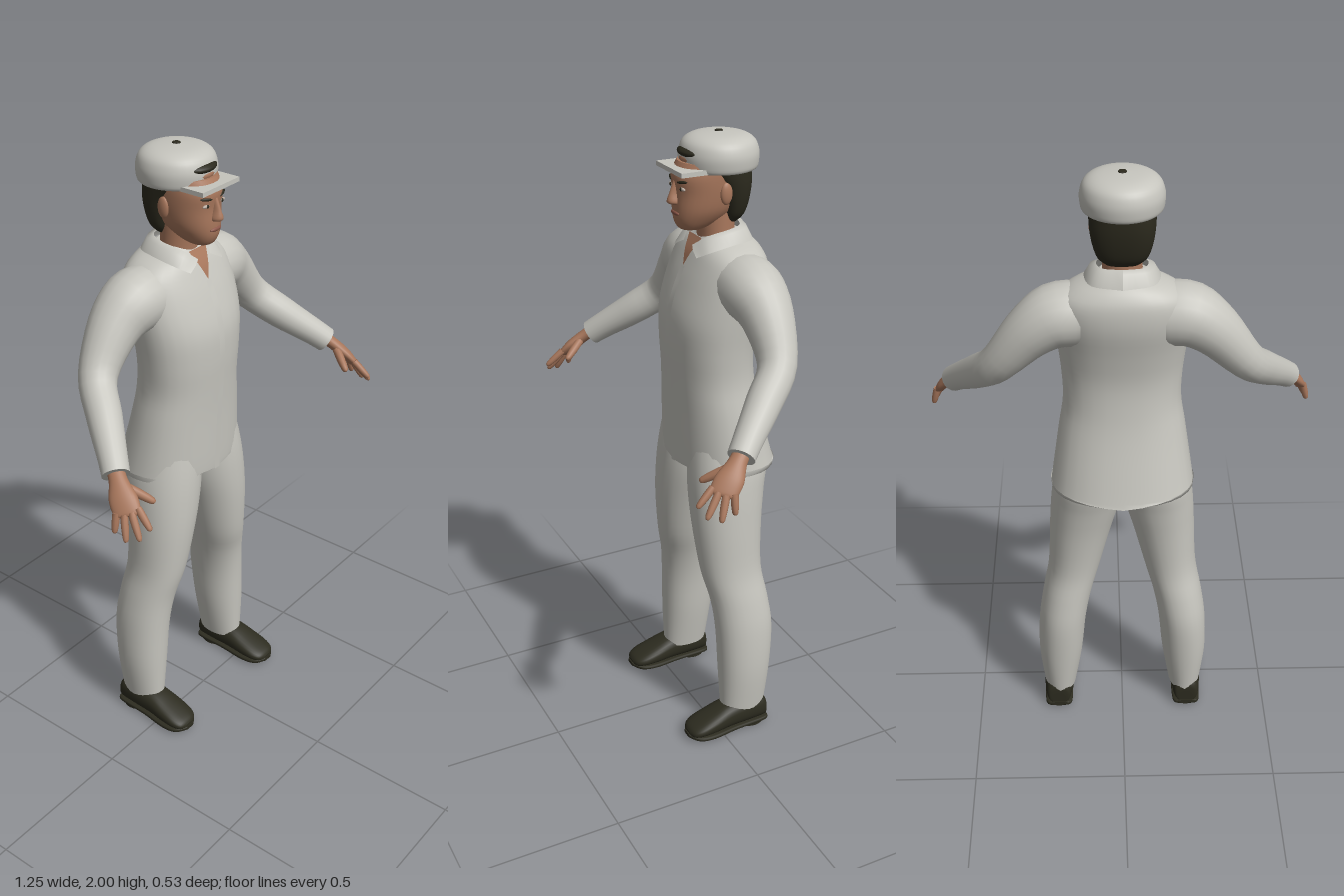
import * as THREE from 'three';

const V = (x, y, z) => new THREE.Vector3(x, y, z);
const mat = (name, color, side = THREE.FrontSide) => {
  const m = new THREE.MeshStandardMaterial({ color, side });
  m.name = name;
  return m;
};

// Smoothly subdivide a list of number rows
function refine(rows, k = 4) {
  const out = [], n = rows.length - 1;
  for (let i = 0; i < n; i++) {
    const [a, b, c, d] = [Math.max(i - 1, 0), i, i + 1, Math.min(i + 2, n)].map((q) => rows[q]);
    for (let s = 0; s < k; s++) {
      const t = s / k;
      out.push(b.map((_, j) => 0.5 * (2 * b[j] + (c[j] - a[j]) * t
        + (2 * a[j] - 5 * b[j] + 4 * c[j] - d[j]) * t * t
        + (3 * b[j] - a[j] - 3 * c[j] + d[j]) * t * t * t)));
    }
  }
  out.push(rows[n]);
  return out;
}

// Ring of points c + u cos + v sin; p below 1 makes it boxier
function ring(c, u, v, p = 1, n = 28) {
  const f = (s) => Math.sign(s) * Math.abs(s) ** p;
  return Array.from({ length: n }, (_, i) => {
    const a = (i / n) * Math.PI * 2;
    return c.clone().addScaledVector(u, f(Math.cos(a))).addScaledVector(v, f(Math.sin(a)));
  });
}

// Skin a surface through rings, with optional flat end caps
function loft(rings, { closed = true, capStart = true, capEnd = true } = {}) {
  const n = rings[0].length, pos = [], idx = [];
  rings.forEach((r) => r.forEach((q) => pos.push(q.x, q.y, q.z)));
  for (let i = 0; i < rings.length - 1; i++) {
    for (let j = 0; j < (closed ? n : n - 1); j++) {
      const a = i * n + j, b = i * n + ((j + 1) % n);
      idx.push(a, b, a + n, b, b + n, a + n);
    }
  }
  const cap = (r, flip) => {
    const base = pos.length / 3, c = V(0, 0, 0);
    r.forEach((q) => { pos.push(q.x, q.y, q.z); c.addScaledVector(q, 1 / n); });
    pos.push(c.x, c.y, c.z);
    for (let j = 0; j < n; j++) {
      const a = base + j, b = base + ((j + 1) % n);
      idx.push(...(flip ? [b, a, base + n] : [a, b, base + n]));
    }
  };
  if (closed && capStart) cap(rings[0], true);
  if (closed && capEnd) cap(rings[rings.length - 1], false);
  const g = new THREE.BufferGeometry();
  g.setAttribute('position', new THREE.Float32BufferAttribute(pos, 3));
  g.setIndex(idx);
  g.computeVertexNormals();
  return g;
}

// Upright form from rows [y, centre x, half width, front z, back z]
const uprightRings = (rows, p) => refine(rows).map(([y, cx, hw, zf, zb]) =>
  ring(V(cx, y, (zf + zb) / 2), V(0, 0, (zf - zb) / 2), V(hw, 0, 0), p));
const upright = (rows, p = 1, opts) => loft(uprightRings(rows, p), opts);

// Lengthwise form from rows [z, centre x, half width, top y, bottom y]
const lengthwise = (rows, p) => loft(refine(rows).map(([z, cx, hw, t, b]) =>
  ring(V(cx, (t + b) / 2, z), V(hw, 0, 0), V(0, (t - b) / 2, 0), p)));

// Limb from rows [x, y, z, radius]
function limb(rows, n = 20, k = 4) {
  const r = refine(rows, k), at = (i) => V(...r[Math.min(Math.max(i, 0), r.length - 1)].slice(0, 3));
  return loft(r.map((q, i) => {
    const t = at(i + 1).sub(at(i - 1)).normalize();
    const u = V(0, 0, 1).cross(t).normalize();
    return ring(at(i), u.clone().multiplyScalar(q[3]), t.clone().cross(u).multiplyScalar(q[3]), 1, n);
  }));
}

// Ribbon between edges
const ribbon = (...edges) => loft(edges.map((e) =>
  new THREE.CatmullRomCurve3(e.map((q) => V(...q))).getPoints(20)), { closed: false });

const ball = (x, y, z, a, b, c) => new THREE.SphereGeometry(1, 20, 14).scale(a, b, c).translate(x, y, z);

// Mirror across x, keeping faces outward
function mirrored(geo) {
  const g = geo.clone().scale(-1, 1, 1), ix = g.index.array;
  for (let i = 0; i < ix.length; i += 3) [ix[i], ix[i + 1]] = [ix[i + 1], ix[i]];
  g.computeVertexNormals();
  return g;
}

export function createModel() {
  const model = new THREE.Group();
  model.name = 'standingMan';
  const cloth = mat('paleGreyCloth', 0xc6c5be, THREE.DoubleSide);
  const skin = mat('skin', 0xa8775c, THREE.DoubleSide);
  const hair = mat('darkHair', 0x2b291d);
  const leather = mat('darkLeather', 0x2d2c20);
  const white = mat('eyeWhite', 0xb8aba0);
  const lip = mat('lips', 0x8a5648);
  const add = (name, geo, m) => {
    const mesh = new THREE.Mesh(geo, m);
    mesh.name = name;
    model.add(mesh);
  };
  const pair = (name, geo, m) => {
    add(name + 'Left', geo, m);
    add(name + 'Right', mirrored(geo), m);
  };

  // Shirt body with a hem that rises at the sides
  const shirt = uprightRings([
    [0.945, 0, 0.228, 0.053, -0.265], [1.0, 0, 0.22, 0.056, -0.25], [1.15, 0, 0.198, 0.06, -0.212],
    [1.25, 0, 0.183, 0.065, -0.195], [1.35, 0, 0.187, 0.07, -0.19], [1.45, 0, 0.197, 0.066, -0.205],
    [1.55, 0, 0.205, 0.035, -0.226], [1.62, 0, 0.195, 0.005, -0.226], [1.66, 0, 0.15, -0.015, -0.21],
    [1.685, 0, 0.09, -0.035, -0.185], [1.7, 0, 0.065, -0.045, -0.16]], 0.9);
  shirt[0].forEach((q) => { q.y += 0.025 * Math.abs(q.x) / 0.228; });
  add('shirtBody', loft(shirt, { capStart: false }), cloth);
  const placket = [[1.6, 0.02], [1.5, 0.058], [1.4, 0.074], [1.25, 0.069], [1.1, 0.062], [0.945, 0.056]];
  add('shirtPlacket', ribbon(...[-0.012, 0.012].map((x) => placket.map(([y, z]) => [x, y, z]))), cloth);

  // Sleeves with a slight cuff
  pair('sleeve', limb([
    [0.13, 1.56, -0.11, 0.098], [0.2, 1.555, -0.115, 0.098], [0.28, 1.5, -0.12, 0.08],
    [0.375, 1.388, -0.1, 0.059], [0.44, 1.312, -0.02, 0.054], [0.505, 1.243, 0.065, 0.045],
    [0.536, 1.208, 0.105, 0.042]]), cloth);

  // Folded collar and open neckline
  pair('collar', ribbon(
    [[0, 1.725, -0.16], [0.06, 1.722, -0.142], [0.076, 1.716, -0.095], [0.06, 1.7, -0.035], [0.028, 1.67, 0.002]],
    [[0, 1.72, -0.18], [0.075, 1.716, -0.157], [0.095, 1.71, -0.098], [0.08, 1.69, -0.026], [0.05, 1.658, 0.01]],
    [[0, 1.68, -0.2], [0.09, 1.68, -0.17], [0.112, 1.678, -0.1], [0.1, 1.66, -0.02], [0.076, 1.643, 0.012]]), cloth);
  add('neckline', ribbon(
    [[-0.04, 1.69, -0.024], [-0.02, 1.645, 0.002], [0, 1.6, 0.019]],
    [[0.04, 1.69, -0.024], [0.02, 1.645, 0.002], [0, 1.6, 0.019]]), skin);

  // Hands: palm, four fingers and a thumb
  const across = V(-0.6, 0.2, 0.77).normalize(), along = V(0.4, -0.68, 0.61);
  along.addScaledVector(across, -along.dot(across)).normalize();
  const thick = along.clone().cross(across);
  pair('palm', loft(refine([
    [0.525, 1.225, 0.09, 0.027, 0.022], [0.545, 1.2, 0.122, 0.028, 0.02], [0.567, 1.165, 0.158, 0.042, 0.019],
    [0.582, 1.135, 0.185, 0.04, 0.014], [0.587, 1.128, 0.191, 0.03, 0.008]]).map(([x, y, z, w, t]) =>
    ring(V(x, y, z), across.clone().multiplyScalar(w), thick.clone().multiplyScalar(t)))), skin);
  const fingers = {
    indexFinger: [[0.56, 1.148, 0.207], [0.57, 1.1, 0.262]],
    middleFinger: [[0.577, 1.138, 0.197], [0.6, 1.074, 0.247]],
    ringFinger: [[0.591, 1.132, 0.181], [0.618, 1.064, 0.21]],
    littleFinger: [[0.6, 1.135, 0.16], [0.616, 1.076, 0.165]],
    thumb: [[0.537, 1.183, 0.15], [0.496, 1.14, 0.216]],
  };
  for (const [name, [a, b]] of Object.entries(fingers)) {
    const w = name === 'thumb' ? 0.014 : 0.0115;
    pair(name, limb([[0, w], [0.45, w], [0.9, w * 0.75], [1, w * 0.3]].map(([t, r]) =>
      [...a.map((q, i) => q + (b[i] - q) * t), r]), 10, 2), skin);
  }

  // Trousers
  pair('trouserLeg', upright([
    [0.075, 0.219, 0.054, -0.015, -0.172], [0.23, 0.214, 0.074, -0.01, -0.19], [0.38, 0.204, 0.079, -0.005, -0.2],
    [0.49, 0.186, 0.081, 0.006, -0.19], [0.6, 0.16, 0.086, 0.03, -0.176], [0.75, 0.137, 0.101, 0.046, -0.184],
    [0.87, 0.117, 0.113, 0.049, -0.2], [0.97, 0.103, 0.113, 0.044, -0.215], [1.08, 0.09, 0.095, 0.03, -0.18]], 0.95), cloth);

  // Shoes with sole and heel
  pair('shoeUpper', lengthwise([
    [-0.172, 0.225, 0.025, 0.065, 0.015], [-0.163, 0.225, 0.042, 0.1, 0.012], [-0.1, 0.225, 0.05, 0.112, 0.012],
    [-0.03, 0.226, 0.051, 0.102, 0.012], [0.03, 0.227, 0.055, 0.08, 0.012], [0.08, 0.228, 0.053, 0.06, 0.014],
    [0.108, 0.229, 0.04, 0.046, 0.016], [0.118, 0.229, 0.018, 0.034, 0.02]], 0.85), leather);
  pair('shoeSole', lengthwise([
    [-0.175, 0.225, 0.025, 0.022, 0.008], [-0.16, 0.225, 0.046, 0.022, 0.006], [-0.05, 0.226, 0.05, 0.022, 0.006],
    [0.04, 0.228, 0.058, 0.022, 0.004], [0.095, 0.229, 0.05, 0.024, 0.008], [0.122, 0.229, 0.018, 0.027, 0.014]], 0.5), leather);
  pair('shoeHeel', new THREE.CylinderGeometry(0.046, 0.046, 0.018, 24).scale(1, 1, 1.1).translate(0.225, 0.009, -0.12), leather);

  // Neck and head
  add('neck', upright([[1.6, 0, 0.07, -0.03, -0.15], [1.68, 0, 0.06, -0.035, -0.15], [1.78, 0, 0.058, -0.025, -0.15]]), skin);
  add('head', upright([
    [1.712, 0, 0.02, 0.015, -0.03], [1.72, 0, 0.038, 0.032, -0.06], [1.745, 0, 0.058, 0.045, -0.115],
    [1.78, 0, 0.075, 0.048, -0.15], [1.83, 0, 0.084, 0.046, -0.17], [1.88, 0, 0.087, 0.049, -0.178],
    [1.92, 0, 0.085, 0.03, -0.18]], 0.92), skin);
  add('nose', upright([
    [1.794, 0, 0.012, 0.056, 0.02], [1.803, 0, 0.018, 0.071, 0.02], [1.83, 0, 0.011, 0.063, 0.02],
    [1.865, 0, 0.009, 0.05, 0.02]]), skin);
  pair('ear', ball(0.089, 1.83, -0.078, 0.011, 0.034, 0.02).rotateY(0.05), skin);
  pair('eye', ball(0.035, 1.846, 0.038, 0.016, 0.0055, 0.006), white);
  pair('pupil', ball(0.034, 1.846, 0.0425, 0.0055, 0.0055, 0.003), hair);
  pair('eyebrow', ball(0, 0, 0, 0.021, 0.0045, 0.005).rotateZ(0.15).rotateY(0.35).translate(0.037, 1.867, 0.04), hair);
  add('mouth', ball(0, 1.768, 0.045, 0.025, 0.007, 0.007), lip);

  // Hair below the cap
  add('hairBack', upright([
    [1.73, 0, 0.05, -0.1, -0.15], [1.755, 0, 0.073, -0.092, -0.17], [1.8, 0, 0.088, -0.08, -0.184],
    [1.85, 0, 0.095, -0.058, -0.192], [1.9, 0, 0.097, -0.01, -0.193]], 0.85), hair);

  // Cap worn with its opening at the front
  add('capCrown', new THREE.LatheGeometry(refine([
    [0.088, 1.897], [0.114, 1.892], [0.121, 1.915], [0.12, 1.945], [0.106, 1.975], [0.07, 1.992], [0.0001, 1.998],
  ]).map(([r, y]) => new THREE.Vector2(Math.max(r, 0), y)), 40).translate(0, 0, -0.1), cloth);
  add('capButton', new THREE.CylinderGeometry(0.012, 0.014, 0.005, 8).translate(0, 1.9975, -0.1), hair);
  add('capBrim', new THREE.BoxGeometry(0.17, 0.014, 0.13).translate(0, 1.9, 0), cloth);
  add('foreheadOpening', ball(0, 1.926, -0.025, 0.062, 0.026, 0.049), skin);
  add('hairFringe', ball(0, 1.946, -0.028, 0.067, 0.02, 0.058), hair);

  return model;
}
